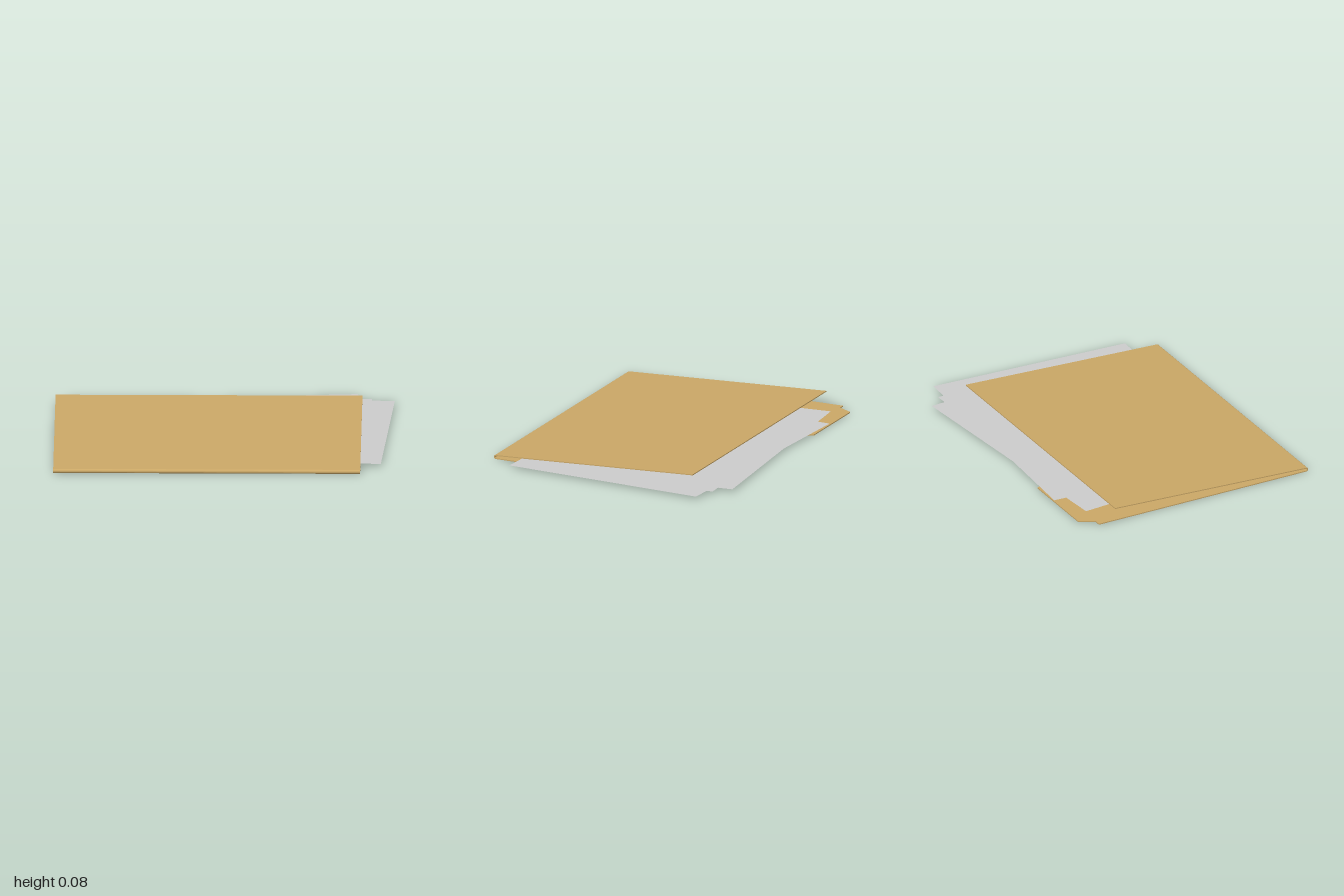
import * as THREE from 'three';

const LEFT = -1, RIGHT = 0.81, FOLD = 0.76, CARD = 0.006, R = 0.0125;

const manila = new THREE.MeshStandardMaterial({ color: 0xcaa766 });
manila.name = 'manila card';
const white = new THREE.MeshStandardMaterial({ color: 0xcccccc, side: THREE.DoubleSide });
white.name = 'paper';

function part(name, geometry, material) {
  const mesh = new THREE.Mesh(geometry, material);
  mesh.name = name;
  return mesh;
}

// Extrudes a side profile, drawn as (z, y), across the folder's width
function acrossWidth(shape) {
  return new THREE.ExtrudeGeometry(shape, { depth: RIGHT - LEFT, bevelEnabled: false, curveSegments: 10 })
    .rotateY(-Math.PI / 2)
    .translate(RIGHT, 0, 0);
}

export function createModel() {
  const model = new THREE.Group();
  model.name = 'folder with papers';

  // Back panel lying flat, with its index tab; outline is (x, -z)
  const outline = [
    [LEFT, -FOLD], [RIGHT, -FOLD], [RIGHT, 0.64], [-0.36, 0.64],
    [-0.42, 0.73], [-0.91, 0.73], [-0.96, 0.64], [LEFT, 0.64],
  ].map(([x, y]) => new THREE.Vector2(x, y));
  const panel = new THREE.ExtrudeGeometry(new THREE.Shape(outline), { depth: CARD, bevelEnabled: false });
  model.add(part('backPanel', panel.rotateX(-Math.PI / 2), manila));

  // Rounded fold along the front
  const fold = new THREE.Shape();
  fold.absarc(FOLD, R, R, -Math.PI / 2, Math.PI / 2, false);
  fold.absarc(FOLD, R, R - CARD, Math.PI / 2, -Math.PI / 2, true);
  model.add(part('spine', acrossWidth(fold), manila));

  // Cover rising gently towards the back
  const cover = new THREE.Shape([
    [FOLD, 2 * R - CARD], [FOLD, 2 * R], [-0.53, 0.083], [-0.53, 0.083 - CARD],
  ].map(([z, y]) => new THREE.Vector2(z, y)));
  model.add(part('frontCover', acrossWidth(cover), manila));

  // Loose sheets: centre x, height, centre z, turn
  const sheets = [
    [0.0745, 0.0145, -0.029, 0.035],
    [0.153, 0.0155, -0.06, -0.055],
    [0.024, 0.0165, -0.08, 0.085],
  ];
  sheets.forEach(([x, y, z, turn], i) => {
    const sheet = part('sheet' + (i + 1), new THREE.PlaneGeometry(1.626, 1.257).rotateX(-Math.PI / 2), white);
    sheet.position.set(x, y, z);
    sheet.rotation.y = turn;
    model.add(sheet);
  });

  return model;
}
